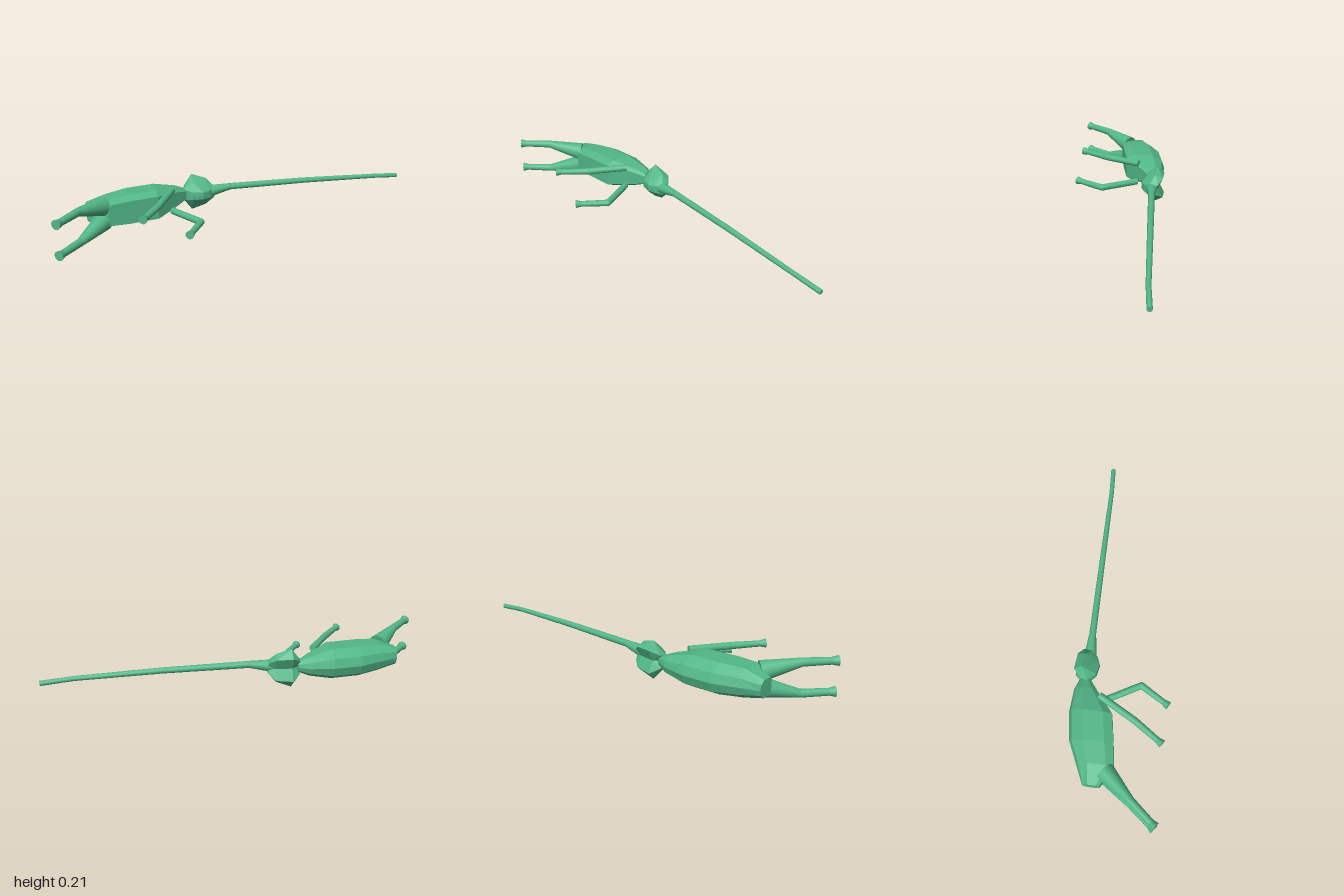
import * as THREE from 'three';
import { ConvexGeometry } from 'three/addons/geometries/ConvexGeometry.js';

const MID = 0.105; // symmetry plane of the animal, which lies on its side
const green = new THREE.MeshStandardMaterial({ color: 0x52b788 });
green.name = 'green';

const V = (x, y, z) => new THREE.Vector3(x, y, z);

function add(parent, name, geometry) {
  const mesh = new THREE.Mesh(geometry, green);
  mesh.name = name;
  parent.add(mesh);
  return mesh;
}

// Tapered round bar from a to b
function bar(parent, name, a, b, ra, rb, sides = 16) {
  const mesh = add(parent, name, new THREE.CylinderGeometry(rb, ra, a.distanceTo(b), sides));
  mesh.position.copy(a).add(b).multiplyScalar(0.5);
  mesh.quaternion.setFromUnitVectors(V(0, 1, 0), b.clone().sub(a).normalize());
}

// Faceted skin through nine-sided rings: [x, back z, belly z, half width]
function bodyGeometry(sections) {
  const rings = sections.map(([x, top, belly, w]) => {
    const h = belly - top;
    return [
      [1, top + 0.32 * h], [1, top + 0.8 * h], [0.76, belly], [-0.76, belly],
      [-1, top + 0.8 * h], [-1, top + 0.32 * h], [-0.58, top + 0.07 * h],
      [0, top], [0.58, top + 0.07 * h],
    ].map(([k, z]) => V(x, MID + k * w, z));
  });
  const points = [];
  const n = rings[0].length;
  for (let i = 0; i < rings.length - 1; i++) {
    for (let j = 0; j < n; j++) {
      const k = (j + 1) % n;
      const [a, b, c, d] = [rings[i][j], rings[i][k], rings[i + 1][k], rings[i + 1][j]];
      points.push(a, b, c, a, c, d);
    }
  }
  const first = rings[0], last = rings[rings.length - 1];
  for (let j = 1; j < n - 1; j++) {
    points.push(first[0], first[j + 1], first[j], last[0], last[j], last[j + 1]);
  }
  const geometry = new THREE.BufferGeometry().setFromPoints(points);
  geometry.computeVertexNormals();
  return geometry;
}

// Leg with thigh, shin and flared foot
function leg(parent, name, hip, knee, foot, hipR, kneeR, footR) {
  const group = new THREE.Group();
  group.name = name;
  const ankle = knee.clone().lerp(foot, 0.82);
  bar(group, 'upperLeg', hip, knee, hipR, kneeR);
  add(group, 'knee', new THREE.SphereGeometry(kneeR, 16, 10)).position.copy(knee);
  bar(group, 'lowerLeg', knee, ankle, kneeR, kneeR * 0.86);
  bar(group, 'foot', ankle, foot, kneeR * 0.86, footR);
  parent.add(group);
}

export function createModel() {
  const model = new THREE.Group();
  model.name = 'longSnoutedAnimal';

  add(model, 'body', bodyGeometry([
    [-0.82, -0.145, -0.06, 0.045],
    [-0.72, -0.19, 0.0, 0.072],
    [-0.61, -0.24, -0.015, 0.08],
    [-0.46, -0.262, -0.04, 0.08],
    [-0.34, -0.253, -0.135, 0.05],
    [-0.28, -0.23, -0.18, 0.026],
  ]));

  // Head halves, with ears flaring outwards and a cleft between them
  const head = new THREE.Group();
  head.name = 'head';
  model.add(head);
  for (const side of [1, -1]) {
    const p = (x, z, w) => V(x, MID + side * w, z);
    add(head, side > 0 ? 'headUpperHalf' : 'headLowerHalf', new ConvexGeometry([
      p(-0.245, -0.225, 0.102), p(-0.25, -0.264, 0.06), p(-0.165, -0.256, 0.055),
      p(-0.17, -0.215, 0.077), p(-0.13, -0.23, 0.03), p(-0.127, -0.185, 0.028),
      p(-0.25, -0.185, 0.065), p(-0.2, -0.14, 0.02), p(-0.255, -0.15, 0.022),
      p(-0.295, -0.19, 0.03), p(-0.29, -0.225, 0.035), p(-0.16, -0.155, 0.02),
      p(-0.25, -0.235, 0), p(-0.165, -0.23, 0), p(-0.127, -0.215, 0),
      p(-0.127, -0.185, 0), p(-0.16, -0.155, 0), p(-0.2, -0.138, 0),
      p(-0.255, -0.148, 0), p(-0.295, -0.19, 0),
    ]));
  }

  // Very long, slowly tapering snout
  const path = [
    [-0.15, 0.11, -0.195, 0.032], [-0.035, 0.123, -0.198, 0.018],
    [0.4, 0.112, -0.204, 0.0155], [0.84, 0.091, -0.21, 0.0125], [1.0, 0.077, -0.22, 0.013],
  ];
  const snout = new THREE.Group();
  snout.name = 'snout';
  model.add(snout);
  for (let i = 0; i < path.length - 1; i++) {
    const [a, b] = [path[i], path[i + 1]];
    bar(snout, 'snoutSegment' + (i + 1), V(...a.slice(0, 3)), V(...b.slice(0, 3)), a[3], b[3], 12);
  }

  // Matching hind legs
  for (const side of [1, -1]) {
    leg(model, side > 0 ? 'upperHindLeg' : 'lowerHindLeg',
      V(-0.745, MID + side * 0.04, -0.04), V(-0.872, MID + side * 0.079, 0.098),
      V(-0.982, MID + side * 0.079, 0.23), 0.05, 0.021, 0.025);
  }

  // Front legs caught in mid-stride
  leg(model, 'trailingFrontLeg', V(-0.375, 0.165, -0.115), V(-0.482, 0.158, 0.078),
    V(-0.582, 0.157, 0.224), 0.018, 0.018, 0.022);
  leg(model, 'leadingFrontLeg', V(-0.375, 0.053, -0.105), V(-0.268, 0.054, 0.088),
    V(-0.36, 0.056, 0.238), 0.018, 0.018, 0.022);

  return model;
}
